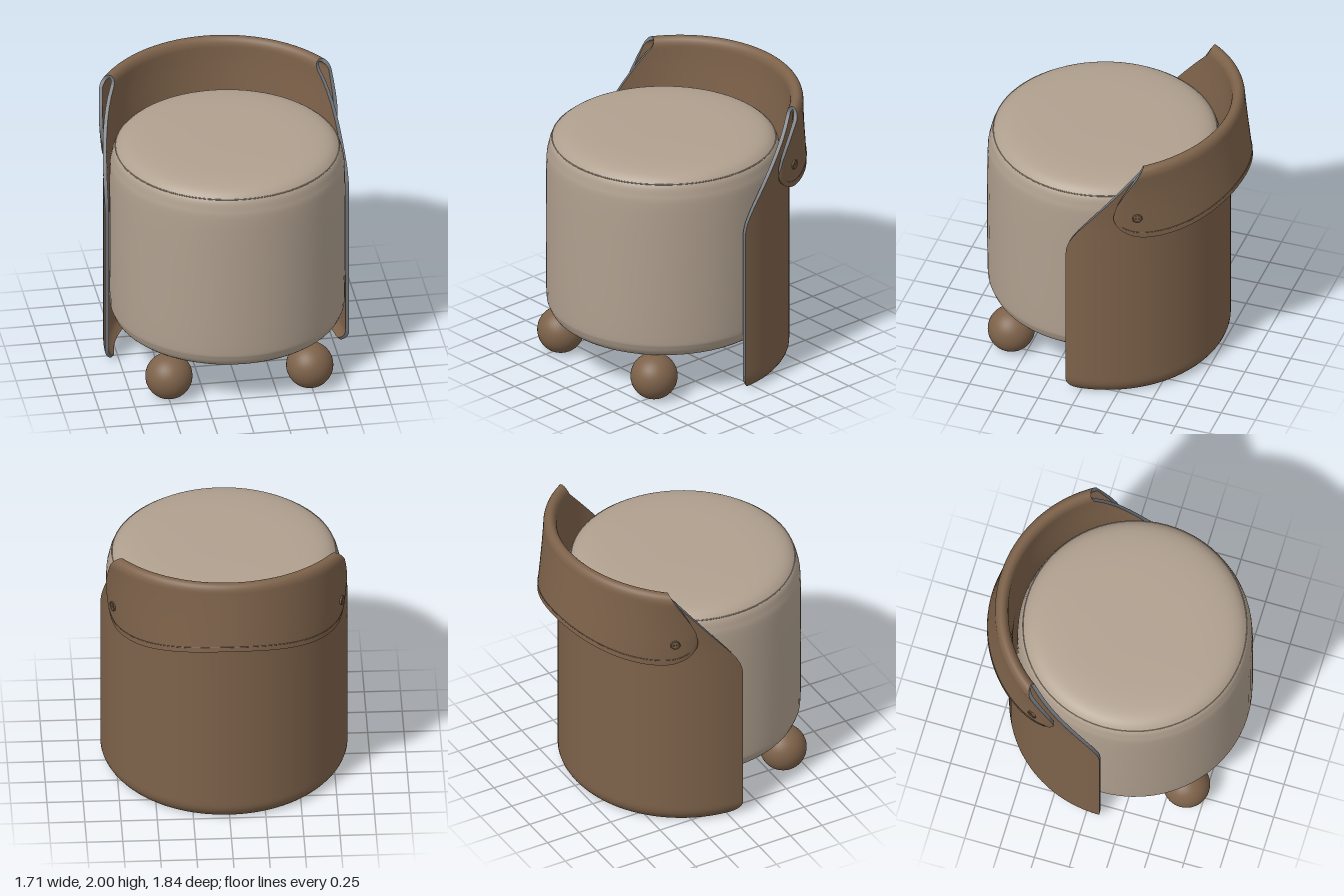
import * as THREE from 'three';

const leather = new THREE.MeshStandardMaterial({ color: 0x7d624a });
leather.name = 'brown leather';
const fabric = new THREE.MeshStandardMaterial({ color: 0xb0a08f });
fabric.name = 'beige fabric';
const trim = new THREE.MeshStandardMaterial({ color: 0x70757a, side: THREE.DoubleSide });
trim.name = 'grey cut edge';

const { lerp, smoothstep } = THREE.MathUtils;
const ZC = 0.09; // axis of the leather wrap
const HALF = 0.013; // half the leather thickness

// Linear lookup in [input, output] pairs
function lookup(table, x) {
  for (let i = 1; i < table.length; i++) {
    const [x0, y0] = table[i - 1], [x1, y1] = table[i];
    if (x <= x1) return lerp(y0, y1, Math.max(0, (x - x0) / (x1 - x0)));
  }
  return table[table.length - 1][1];
}

// Quarter-round rise from 0 at w to 1 at the side edge
function corner(a, w) {
  const k = Math.max(0, (a - w) / (1 - w));
  return 1 - Math.sqrt(Math.max(0, 1 - k * k));
}

const wallEdge = [[0, 0.1], [1.19, 0.1], [1.25, 0.09], [1.31, 0.06], [1.37, 0.02], [1.9, -0.4]];
const flapEdge = [[1.5, -0.245], [1.57, -0.245], [1.65, -0.265], [1.73, -0.305], [1.9, -0.4]];

// Radius and height: s 0-1 is the wall, 1-2 the fold, 2-3 the flap
function section(a, s) {
  const top = 1.9 + 0.03 * (1 - a * a);
  if (s <= 1) {
    const y = lerp(0.008 + 0.1 * corner(a, 0.93), top, s);
    const curl = 0.06 * Math.max(0, 1 - y / 0.1) ** 2;
    return [0.84 + 0.032 * smoothstep(y, 1.4, 1.92) - curl, y];
  }
  if (s <= 2) {
    const f = (s - 1) * Math.PI;
    return [0.905 - 0.033 * Math.cos(f), top + 0.057 * Math.sin(f)];
  }
  const t = s - 2;
  const bottom = 1.5 - 0.12 * smoothstep(a, 0, 0.8) + 0.15 * corner(a, 0.8);
  return [lerp(0.938, lerp(1.0, 0.872, a * a), t), lerp(top, bottom, t)];
}

function wrapPoint(u, s) {
  const a = Math.abs(u);
  const [r, y] = section(a, s);
  const [re, ye] = section(1, s);
  let z;
  if (s <= 1) z = lookup(wallEdge, ye);
  else if (s <= 2) z = -0.4 - 0.03 * Math.sin((s - 1) * Math.PI);
  else z = lookup(flapEdge, ye);
  const angle = u * Math.acos((ZC - z) / re);
  return new THREE.Vector3(r * Math.sin(angle), y, ZC - r * Math.cos(angle));
}

function wrapNormal(u, s) {
  const e = 0.001;
  const uc = THREE.MathUtils.clamp(u, -1 + 2 * e, 1 - 2 * e);
  const sc = THREE.MathUtils.clamp(s, e, 3 - e);
  const du = wrapPoint(uc + e, sc).sub(wrapPoint(uc - e, sc));
  const ds = wrapPoint(uc, sc + e).sub(wrapPoint(uc, sc - e));
  return du.cross(ds).normalize();
}

function offsetPoint(u, s, d) {
  return wrapPoint(u, s).addScaledVector(wrapNormal(u, s), d);
}

function surface(positions, index) {
  const g = new THREE.BufferGeometry();
  g.setAttribute('position', new THREE.Float32BufferAttribute(positions, 3));
  g.setIndex(index);
  g.computeVertexNormals();
  return g;
}

function addMesh(parent, name, geometry, material) {
  const m = new THREE.Mesh(geometry, material);
  m.name = name;
  parent.add(m);
  return m;
}

function buildWrap(group) {
  const us = [], ss = [];
  for (let i = 0; i <= 80; i++) us.push(Math.sin((i / 40 - 1) * Math.PI / 2));
  for (let i = 0; i < 44; i++) ss.push((i / 44) ** 1.5);
  for (let i = 0; i < 14; i++) ss.push(1 + i / 14);
  for (let i = 0; i <= 18; i++) ss.push(2 + i / 18);
  const nu = us.length, ns = ss.length;

  // Both faces of the leather sheet
  for (const side of [1, -1]) {
    const pos = [], idx = [];
    for (const s of ss) for (const u of us) pos.push(...offsetPoint(u, s, side * HALF));
    for (let j = 0; j < ns - 1; j++) for (let i = 0; i < nu - 1; i++) {
      const a = j * nu + i, b = a + 1, c = b + nu, d = a + nu;
      if (side > 0) idx.push(a, b, c, a, c, d);
      else idx.push(a, c, b, a, d, c);
    }
    addMesh(group, side > 0 ? 'wrapLining' : 'wrapOuter', surface(pos, idx), leather);
  }

  // Cut edge running round the whole sheet
  const rim = [];
  for (let i = 0; i < nu; i++) rim.push([us[i], 0]);
  for (let j = 1; j < ns; j++) rim.push([1, ss[j]]);
  for (let i = nu - 2; i >= 0; i--) rim.push([us[i], 3]);
  for (let j = ns - 2; j >= 0; j--) rim.push([-1, ss[j]]);
  const pos = [], idx = [];
  rim.forEach(([u, s], k) => {
    pos.push(...offsetPoint(u, s, HALF), ...offsetPoint(u, s, -HALF));
    if (k) idx.push(2 * k - 2, 2 * k - 1, 2 * k + 1, 2 * k - 2, 2 * k + 1, 2 * k);
  });
  addMesh(group, 'wrapCutEdge', surface(pos, idx), trim);

  // Stitch line along the flap hem
  const hem = [];
  for (let i = 0; i <= 60; i++) hem.push(offsetPoint(0.95 * Math.sin((i / 30 - 1) * Math.PI / 2), 2.92, HALF));
  addMesh(group, 'flapStitching', new THREE.TubeGeometry(new THREE.CatmullRomCurve3(hem), 120, 0.003, 5), leather);
}

// Two-hole button lying on the flap
function buildButton(group, side) {
  const button = new THREE.Group();
  button.name = side > 0 ? 'leftButton' : 'rightButton';
  const face = new THREE.Shape().absarc(0, 0, 0.033, 0, Math.PI * 2);
  for (const x of [-0.01, 0.01]) face.holes.push(new THREE.Path().absarc(x, 0, 0.005, 0, Math.PI * 2, true));
  addMesh(button, 'buttonDisc', new THREE.ExtrudeGeometry(face, { depth: 0.012, bevelEnabled: false, curveSegments: 20 }), leather);
  addMesh(button, 'buttonRim', new THREE.TorusGeometry(0.03, 0.005, 6, 28), leather).position.z = 0.012;
  const n = wrapNormal(0.87 * side, 2.68);
  button.position.copy(offsetPoint(0.87 * side, 2.68, HALF - 0.003));
  button.lookAt(button.position.clone().add(n));
  group.add(button);
}

export function createModel() {
  const model = new THREE.Group();
  model.name = 'pouf';

  // Round upholstered seat
  const profile = new THREE.SplineCurve([
    [0, 0.31], [0.4, 0.31], [0.68, 0.312], [0.76, 0.338], [0.8, 0.4], [0.812, 0.5], [0.815, 1.0], [0.812, 1.45],
    [0.798, 1.57], [0.772, 1.64], [0.7, 1.692], [0.55, 1.716], [0.3, 1.724], [0, 1.725],
  ].map(([x, y]) => new THREE.Vector2(x, y))).getPoints(70);
  profile[0].x = profile[70].x = 0;
  const seat = addMesh(model, 'seat', new THREE.LatheGeometry(profile, 72), fabric);
  seat.position.z = 0.105;
  const seam = addMesh(model, 'seatSeam', new THREE.TorusGeometry(0.773, 0.004, 6, 72), fabric);
  seam.rotation.x = Math.PI / 2;
  seam.position.set(0, 1.64, 0.105);

  // Leather back with folded-over flap
  const wrap = new THREE.Group();
  wrap.name = 'leatherBack';
  buildWrap(wrap);
  model.add(wrap);

  // Ball feet with flattened soles, and flap buttons
  const foot = [new THREE.Vector2(0, 0)];
  const start = Math.acos(0.152 / 0.163);
  for (let i = 0; i <= 28; i++) {
    const a = lerp(start, Math.PI, i / 28);
    foot.push(new THREE.Vector2(Math.max(0, 0.163 * Math.sin(a)), 0.152 - 0.163 * Math.cos(a)));
  }
  for (const side of [1, -1]) {
    const ball = addMesh(model, side > 0 ? 'leftFoot' : 'rightFoot', new THREE.LatheGeometry(foot, 36), leather);
    ball.position.set(0.492 * side, 0, 0.62);
    buildButton(model, side);
  }
  return model;
}
